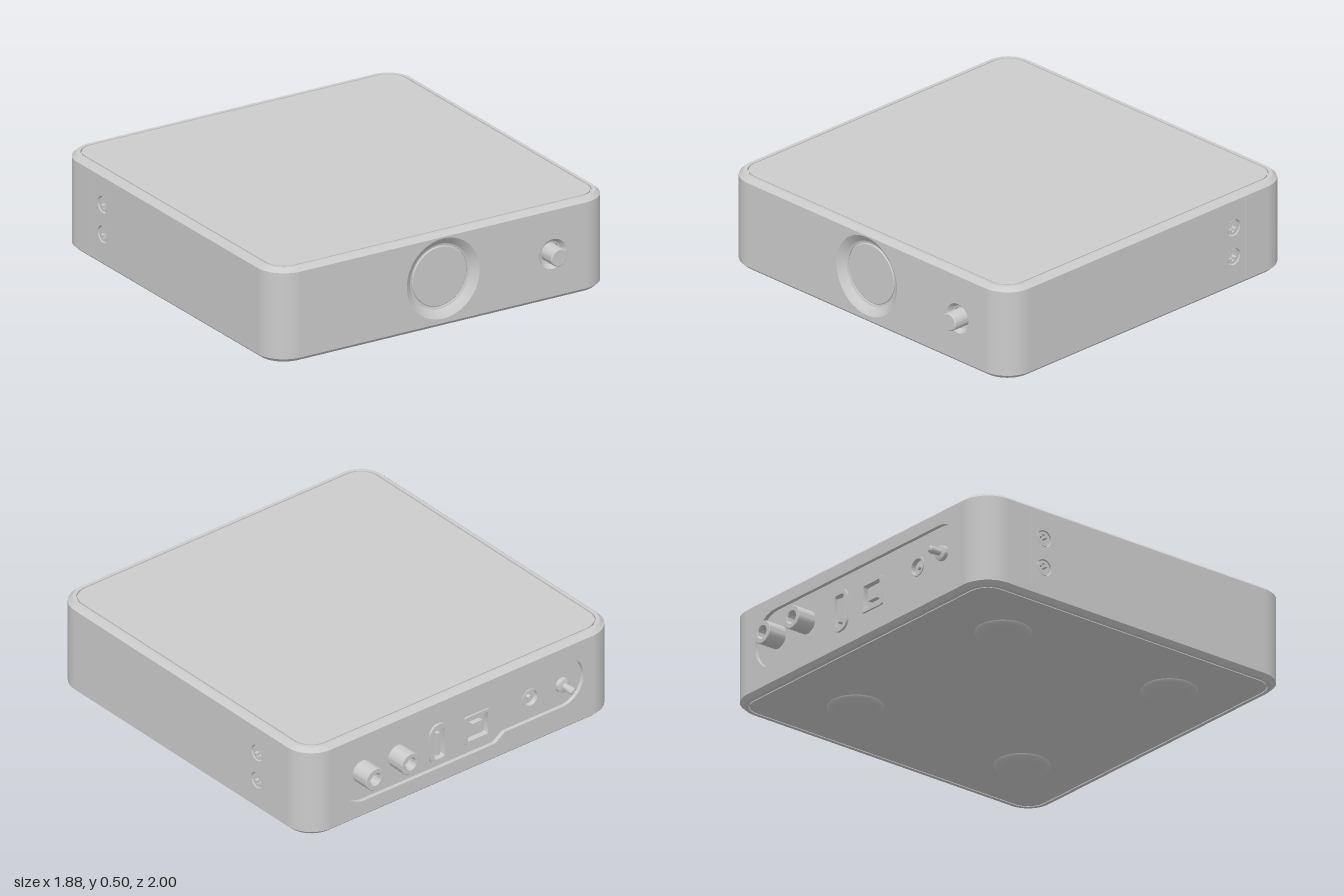
import * as THREE from 'three';
import { toCreasedNormals } from 'three/addons/utils/BufferGeometryUtils.js';

const PI = Math.PI;
const HX = 0.94, HZ = 0.93, CZ = 0.01, R = 0.145; // half sizes, z centre, corner radius
const Y0 = 0.03, Y1 = 0.05, Y2 = 0.485, Y3 = 0.505; // bottom, wall start, wall end, top
const T = 0.04; // wall thickness
const mat = new THREE.MeshStandardMaterial({ color: 0xcccccc });

function add(parent, name, geo, x = 0, y = 0, z = 0) {
  const mesh = new THREE.Mesh(geo, mat);
  mesh.name = name;
  mesh.position.set(x, y, z);
  parent.add(mesh);
  return mesh;
}

const extrude = (shape, depth) => toCreasedNormals(
  new THREE.ExtrudeGeometry(shape, { depth, bevelEnabled: false, curveSegments: 20 }), 0.5);

// Profile of [radius, height] turned around the z axis
const turned = (pts, seg = 48) => toCreasedNormals(
  new THREE.LatheGeometry(pts.map(p => new THREE.Vector2(...p)), seg).rotateX(PI / 2), 0.4);

function roundRect(hw, hh, r, cx = 0, cy = 0) {
  const s = new THREE.Shape();
  s.absarc(cx + hw - r, cy + hh - r, r, 0, PI / 2);
  s.absarc(cx - hw + r, cy + hh - r, r, PI / 2, PI);
  s.absarc(cx - hw + r, cy - hh + r, r, PI, 1.5 * PI);
  s.absarc(cx + hw - r, cy - hh + r, r, 1.5 * PI, 2 * PI);
  s.closePath();
  return s;
}
const circle = (x, y, r) => new THREE.Shape().absarc(x, y, r, 0, 2 * PI);
const outline = inset => roundRect(HX - inset, HZ - inset, R - inset);
const slab = (shape, depth) => extrude(shape, depth).rotateX(-PI / 2);

function withHoles(shape, holes) {
  shape.holes.push(...holes);
  return shape;
}
function wallShape(x0, x1, holes = []) {
  const s = new THREE.Shape();
  s.moveTo(x0, Y1).lineTo(x1, Y1).lineTo(x1, Y2).lineTo(x0, Y2).closePath();
  return withHoles(s, holes);
}

// Sloping band between two inset outlines
function band(in0, y0, in1, y1) {
  const N = 12, pos = [], idx = [], n = 4 * (N + 1);
  for (const [inset, y] of [[in0, y0], [in1, y1]])
    for (let q = 0; q < 4; q++)
      for (let i = 0; i <= N; i++) {
        const a = (q + i / N) * PI / 2, r = R - inset;
        const sx = q === 0 || q === 3 ? 1 : -1, sz = q < 2 ? -1 : 1;
        pos.push(sx * (HX - R) + r * Math.cos(a), y, sz * (HZ - R) - r * Math.sin(a));
      }
  for (let i = 0; i < n; i++) {
    const j = (i + 1) % n;
    idx.push(i, j, n + j, i, n + j, n + i);
  }
  const g = new THREE.BufferGeometry();
  g.setAttribute('position', new THREE.Float32BufferAttribute(pos, 3));
  g.setIndex(idx);
  g.computeVertexNormals();
  return g;
}

function plusShape(x, y, l, w) {
  const s = new THREE.Shape();
  [[w, l], [-w, l], [-w, w], [-l, w], [-l, -w], [-w, -w], [-w, -l], [w, -l], [w, -w], [l, -w], [l, w], [w, w]]
    .forEach(([a, b], i) => i ? s.lineTo(x + a, y + b) : s.moveTo(x + a, y + b));
  return s.closePath();
}

function buildCase(root) {
  const g = new THREE.Group();
  g.name = 'case';
  g.position.z = CZ;
  root.add(g);
  add(g, 'innerCore', slab(outline(T), 0.445), 0, 0.045, 0);
  add(g, 'topChamfer', band(0, Y2, 0.022, Y3));
  add(g, 'bottomChamfer', band(0.022, Y0, 0, Y1));
  // Rims and inset panels separated by a fine groove
  for (const [name, y] of [['top', Y3 - 0.02], ['bottom', Y0]]) {
    add(g, name + 'Rim', slab(withHoles(outline(0.022), [outline(T)]), 0.02), 0, y, 0);
    add(g, name + 'Panel', slab(outline(0.047), 0.02), 0, y, 0);
  }
  // Rounded vertical corners
  [[1, 1], [1, -1], [-1, -1], [-1, 1]].forEach(([sx, sz], i) =>
    add(g, 'cornerWall', new THREE.CylinderGeometry(R, R, Y2 - Y1, 16, 1, true, i * PI / 2, PI / 2),
      sx * (HX - R), (Y1 + Y2) / 2, sz * (HZ - R)));
  // Domed feet
  const dome = new THREE.LatheGeometry(Array.from({ length: 9 }, (_, i) =>
    new THREE.Vector2(0.135 * Math.sin(i / 8 * PI / 2), Y0 * (1 - Math.cos(i / 8 * PI / 2)))), 40);
  for (const x of [-0.54, 0.54])
    for (const z of [-0.475, 0.54]) add(g, 'foot', dome, x, 0, z - CZ + 0.005);
}

function buildFront(root) {
  const g = new THREE.Group();
  g.name = 'front';
  g.position.z = CZ + HZ;
  root.add(g);
  const w = HX - R, ky = 0.275, bx = 0.61, by = 0.265;
  add(g, 'frontWall', extrude(wallShape(-w, w, [circle(0, ky, 0.203), circle(bx, by, 0.075)]), T), 0, 0, -T);
  // Dished ring with a flat dial inside
  add(g, 'dialRing', turned([[0.203, 0], [0.196, -0.004], [0.165, -0.032], [0.157, -0.034], [0.157, -T]], 64), 0, ky, 0);
  add(g, 'dialFace', turned([[0.151, -T], [0.151, -0.035], [0.148, -0.032], [0, -0.032]], 64), 0, ky, 0);
  add(g, 'buttonRing', turned([[0.075, 0], [0.058, -0.022], [0.05, -0.024], [0.05, -T]]), bx, by, 0);
  add(g, 'button', turned([[0.045, -T], [0.045, 0.055], [0.04, 0.06], [0, 0.06]]), bx, by, 0);
}

function buildSides(root) {
  for (const s of [1, -1]) {
    const g = new THREE.Group();
    g.name = s > 0 ? 'leftSide' : 'rightSide';
    g.position.x = s * HX;
    g.rotation.y = s * PI / 2;
    root.add(g);
    const sx = s * 0.55, seam = 0.628, ys = [0.195, 0.345];
    const rear = s * (HZ - R - CZ), fore = -s * (HZ - R + CZ);
    const span = (a, b, holes) => wallShape(Math.min(a, b), Math.max(a, b), holes);
    // Wall split by a seam near the back
    add(g, 'sideWall', extrude(span(fore, s * (seam - 0.003), ys.map(y => circle(sx, y, 0.042))), T), 0, 0, -T);
    add(g, 'rearSideWall', extrude(span(s * (seam + 0.003), rear), T), 0, 0, -T);
    // Cross-head screws
    for (const y of ys)
      add(g, 'screw', extrude(withHoles(circle(sx, y, 0.037), [plusShape(sx, y, 0.023, 0.008)]), T - 0.004), 0, 0, -T);
  }
}

function buildBack(root) {
  const g = new THREE.Group();
  g.name = 'back';
  g.position.z = CZ - HZ;
  g.rotation.y = PI;
  root.add(g);
  const w = HX - R, floor = -0.02, y = 0.277, py = 0.25;
  // Stepped recess with rounded ends
  const recess = new THREE.Shape();
  recess.moveTo(-0.5875, 0.125).lineTo(0.2, 0.125).lineTo(0.26, 0.165).lineTo(0.61, 0.165);
  recess.absarc(0.61, 0.2925, 0.1275, -PI / 2, PI / 2);
  recess.lineTo(-0.5875, 0.42);
  recess.absarc(-0.5875, 0.2725, 0.1475, PI / 2, 1.5 * PI);
  add(g, 'backWall', extrude(wallShape(-w, w, [recess]), T), 0, 0, -T);

  const slot = () => roundRect(0.032, 0.08, 0.014, -0.13, py);
  const port = () => roundRect(0.06, 0.06, 0.008, 0.105, py);
  const plate = recess.clone();
  plate.holes = [slot(), port(), circle(0.43, y, 0.04)];
  add(g, 'connectorPlate', extrude(plate, T + floor), 0, 0, -T);

  // Two round sockets
  for (const x of [-0.59, -0.375])
    add(g, 'roundSocket', turned([[0.057, floor], [0.057, 0.077], [0.054, 0.08], [0.034, 0.08], [0.03, 0.076],
      [0.03, 0.03], [0.012, 0.03], [0.012, 0.022], [0, 0.022]]), x, y, 0);
  // Upright slot port
  add(g, 'slotFrame', extrude(withHoles(roundRect(0.056, 0.108, 0.054, -0.13, py), [slot()]), 0.012), 0, 0, floor);
  add(g, 'slotTongue', new THREE.BoxGeometry(0.02, 0.12, 0.03), -0.135, py, -0.025);
  // Square port
  add(g, 'squareFrame', extrude(withHoles(roundRect(0.075, 0.075, 0.01, 0.105, py), [port()]), 0.01), 0, 0, floor);
  add(g, 'squareTongue', new THREE.BoxGeometry(0.06, 0.05, 0.025), 0.105, py, -0.0275);
  // Power jack
  add(g, 'jackRing', turned([[0.05, floor], [0.05, floor + 0.005], [0.04, floor + 0.005], [0.04, -T]]), 0.43, y, 0);
  add(g, 'jackPin', turned([[0.012, -T], [0.012, floor], [0, floor]], 20), 0.43, y, 0);
  // Toggle switch
  add(g, 'toggleCollar', turned([[0.037, floor], [0.037, 0], [0.026, 0.004], [0, 0.004]], 32), 0.62, y, 0);
  add(g, 'toggleLever', turned([[0.014, floor], [0.019, 0.05], [0.017, 0.062], [0.01, 0.069], [0, 0.071]], 24), 0.62, y, 0);
}

export function createModel() {
  const root = new THREE.Group();
  root.name = 'desktopAudioBox';
  buildCase(root);
  buildFront(root);
  buildSides(root);
  buildBack(root);
  return root;
}
